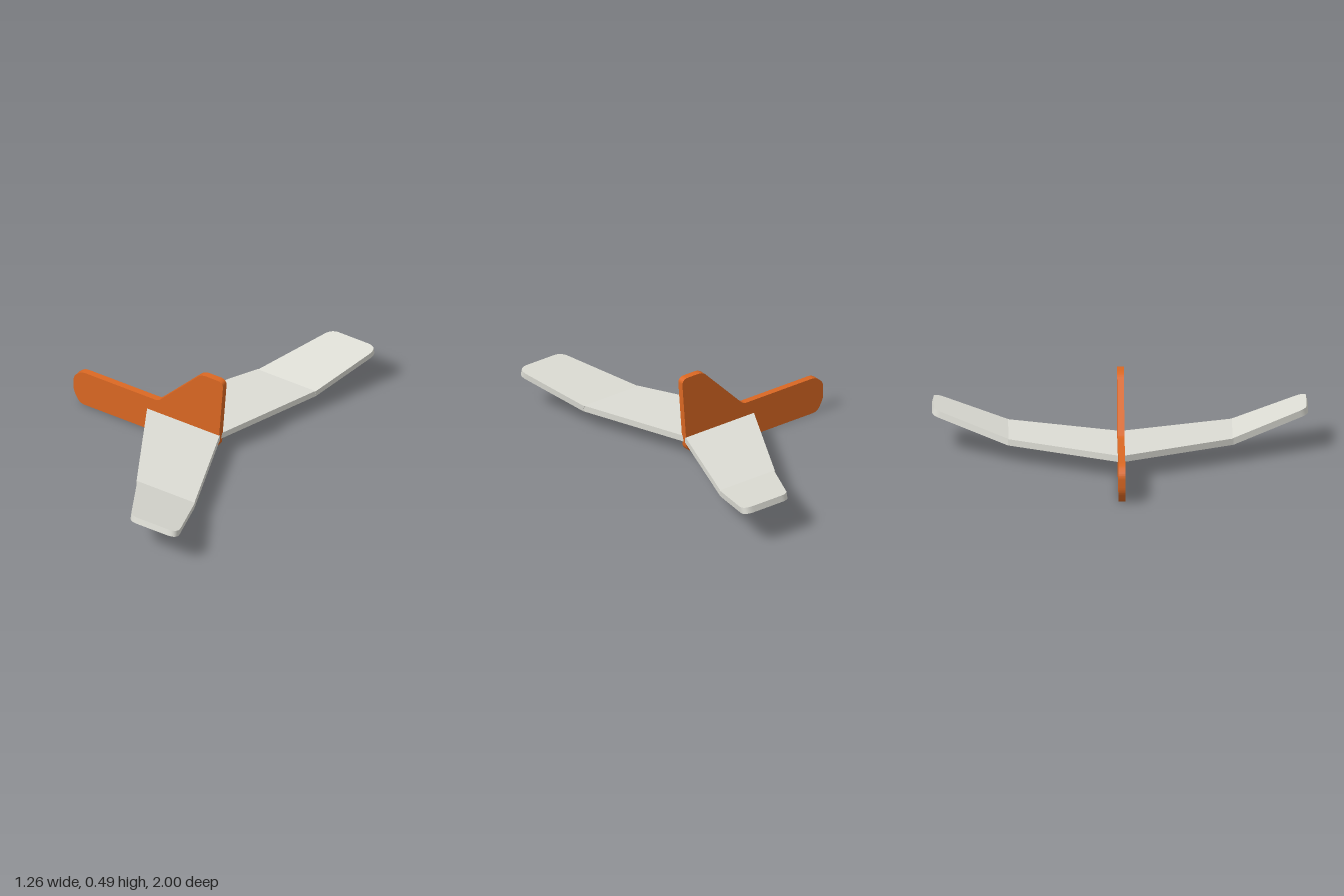
import * as THREE from 'three';
import { toCreasedNormals } from 'three/addons/utils/BufferGeometryUtils.js';

// Closed outline from [x, y, cut] corners; cut is the length trimmed off to round each corner
function roundedShape(corners) {
  const shape = new THREE.Shape();
  const n = corners.length;
  const vec = (i) => new THREE.Vector2(corners[(i + n) % n][0], corners[(i + n) % n][1]);
  corners.forEach(([, , cut], i) => {
    const p = vec(i);
    const toward = (q) => q.sub(p).setLength(cut).add(p);
    const a = cut ? toward(vec(i - 1)) : p;
    if (i === 0) shape.moveTo(a.x, a.y);
    else shape.lineTo(a.x, a.y);
    if (cut) {
      const b = toward(vec(i + 1));
      shape.quadraticCurveTo(p.x, p.y, b.x, b.y);
    }
  });
  shape.closePath();
  return shape;
}

function sheet(corners, depth) {
  return new THREE.ExtrudeGeometry(roundedShape(corners), { depth, bevelEnabled: false, curveSegments: 8 });
}

export function createModel() {
  const model = new THREE.Group();
  model.name = 'toyGlider';

  const orange = new THREE.MeshStandardMaterial({ color: 0xdb6823 });
  orange.name = 'orange';
  const paleGrey = new THREE.MeshStandardMaterial({ color: 0xdcdcd4 });
  paleGrey.name = 'paleGrey';

  const add = (geometry, material, name) => {
    const mesh = new THREE.Mesh(toCreasedNormals(geometry, 0.45), material);
    mesh.name = name;
    model.add(mesh);
  };

  // Flat body with the upright fin, nose toward -x
  const bodyThickness = 0.036;
  const body = sheet([
    [-0.59, 0, 0.03], [-0.035, 0, 0.02], [0.283, 0.046, 0.035],
    [0.316, 0.49, 0.04], [0.177, 0.49, 0.03], [-0.095, 0.21, 0.02],
    [-0.58, 0.21, 0.028], [-0.63, 0.163, 0.025], [-0.63, 0.07, 0.025],
  ], bodyThickness);
  body.translate(0, 0, -bodyThickness / 2);
  add(body, orange, 'bodyAndFin');

  // Swept wings: a level inner panel and an upturned outer panel on each side
  const wingThickness = 0.035;
  const wingBottom = 0.097;
  const hinge = 0.6;
  const tipAngle = THREE.MathUtils.degToRad(14.5);
  const inner = [[-0.175, 0, 0], [0.285, 0, 0], [0.505, hinge, 0], [0.14, hinge, 0]];
  const outer = [[0.14, 0, 0], [0.505, 0, 0], [0.652, 0.413, 0.07], [0.355, 0.413, 0.045]];

  for (const side of [1, -1]) {
    const label = side > 0 ? 'front' : 'back';
    const panel = (corners) =>
      sheet(corners.map(([x, d, cut]) => [x, -side * d, cut]), wingThickness).rotateX(-Math.PI / 2);

    add(panel(inner).translate(0, wingBottom, 0), paleGrey, label + 'WingInner');
    add(panel(outer).rotateX(-side * tipAngle).translate(0, wingBottom, side * hinge),
      paleGrey, label + 'WingTip');
  }

  return model;
}
